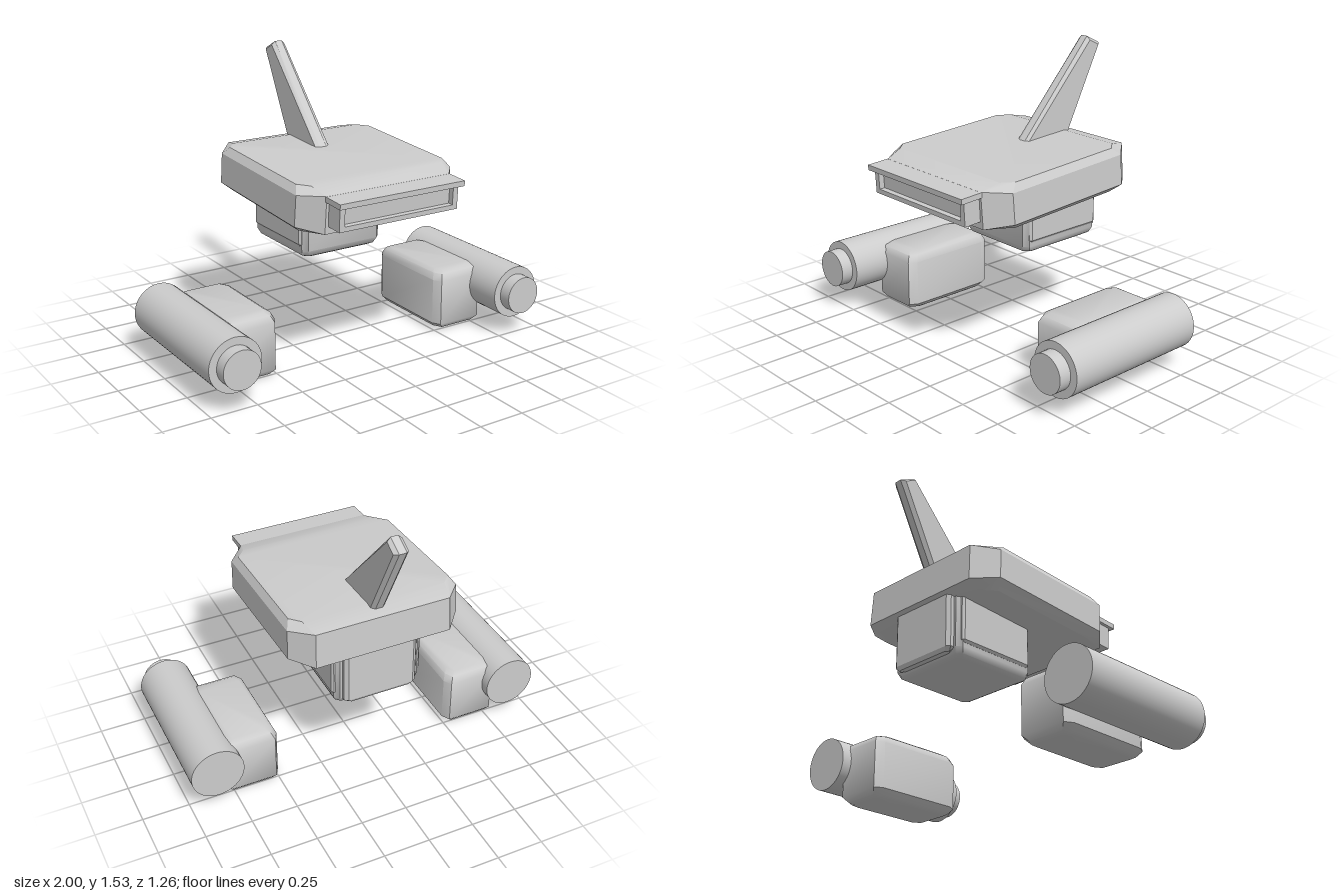
import * as THREE from 'three';
import { toCreasedNormals } from 'three/addons/utils/BufferGeometryUtils.js';

// Corner-cut block: stacked octagons, each level = [y, insetX, insetZ, cutScale, endScale]
function cutBlock(x0, x1, z0, z1, cutX, cutZ, levels, crease = 0.5) {
  const pos = [], idx = [];
  for (const [y, ix, iz, cs = 1, endScale = 1] of levels) {
    const a = x0 + ix, b = x1 - ix, n = z0 + iz, f = z1 - iz, cx = cutX * cs, cz = cutZ * cs;
    const ring = [[b, f - cz], [b, n + cz], [b - cx, n], [a + cx, n],
      [a, n + cz], [a, f - cz], [a + cx, f], [b - cx, f]];
    for (const [x, z] of ring) pos.push(x, z === n || z === f ? y * endScale : y, z);
  }
  const last = (levels.length - 1) * 8;
  for (let l = 0; l < last; l += 8) {
    for (let i = 0; i < 8; i++) {
      const j = (i + 1) % 8;
      idx.push(l + i, l + j, l + 8 + j, l + i, l + 8 + j, l + 8 + i);
    }
  }
  for (let i = 1; i < 7; i++) {
    idx.push(0, i + 1, i, last, last + i, last + i + 1);
  }
  const g = new THREE.BufferGeometry();
  g.setAttribute('position', new THREE.Float32BufferAttribute(pos, 3));
  g.setIndex(idx);
  return toCreasedNormals(g, crease);
}

function rect(s, x0, y0, x1, y1) {
  return s.moveTo(x0, y0).lineTo(x1, y0).lineTo(x1, y1).lineTo(x0, y1).closePath();
}

export function createModel() {
  const model = new THREE.Group();
  const grey = new THREE.MeshStandardMaterial({ color: 0xcccccc });
  grey.name = 'light grey';

  function add(parent, name, geometry, x = 0, y = 0, z = 0) {
    const m = new THREE.Mesh(geometry, grey);
    m.name = name;
    m.position.set(x, y, z);
    parent.add(m);
    return m;
  }

  // Head, tipped slightly forward
  const head = new THREE.Group();
  head.name = 'head';
  head.position.y = 0.9;
  head.rotation.x = 0.055;
  model.add(head);
  add(head, 'headShell', cutBlock(-0.468, 0.468, -0.468, 0.505, 0.1, 0.115, [
    [-0.11, 0.05, 0.1, 0.5],
    [-0.07, 0, 0, 1, 1.25],
    [0.09, 0.005, 0, 1, 1.15],
    [0.13, 0.03, 0.1, 0.5],
  ]));

  // Face: frame around a recessed panel, with a visor slab above
  const frame = rect(new THREE.Shape(), -0.35, -0.05, 0.35, 0.075);
  frame.holes.push(rect(new THREE.Path(), -0.32, -0.025, 0.32, 0.068));
  add(head, 'faceFrame', new THREE.ExtrudeGeometry(frame, { depth: 0.12, bevelEnabled: false }), 0, 0, 0.48);
  add(head, 'facePanel', new THREE.BoxGeometry(0.66, 0.11, 0.08), 0, 0.015, 0.53);
  add(head, 'visor', new THREE.BoxGeometry(0.735, 0.028, 0.15), 0, 0.089, 0.552);

  // Swept fin, profile drawn as (-z, y)
  const profile = new THREE.Shape([[0.06, 1.0], [0.385, 1.0], [0.63, 1.485], [0.54, 1.53]]
    .map(([x, y]) => new THREE.Vector2(x, y)));
  const fin = new THREE.ExtrudeGeometry(profile, {
    depth: 0.04, bevelEnabled: true, bevelThickness: 0.02, bevelSize: 0.016, bevelOffset: -0.016, bevelSegments: 1,
  });
  fin.translate(0, 0, -0.02).rotateY(Math.PI / 2);
  add(model, 'fin', fin);

  // Torso with raised side and back plates
  const torso = new THREE.Group();
  torso.name = 'torso';
  model.add(torso);
  add(torso, 'torsoBlock', cutBlock(-0.238, 0.238, -0.41, 0.1, 0.025, 0.025, [
    [0.507, 0.035, 0.04], [0.52, 0.013, 0.015], [0.55, 0, 0], [0.86, 0, 0],
  ], 0.7));
  for (const s of [-1, 1]) {
    add(torso, 'sidePlate', cutBlock(-0.025, 0.025, -0.392, 0.076, 0.01, 0.012, [
      [0.572, 0.01, 0.01], [0.585, 0, 0], [0.84, 0, 0],
    ]), s * 0.224);
  }
  add(torso, 'backPlate', cutBlock(-0.2, 0.2, -0.445, -0.39, 0.02, 0.015, [
    [0.53, 0.02, 0.012], [0.55, 0, 0], [0.83, 0, 0],
  ]));

  // Feet with a thruster barrel on the outer side
  for (const s of [-1, 1]) {
    const foot = new THREE.Group();
    foot.name = s > 0 ? 'leftFoot' : 'rightFoot';
    model.add(foot);
    add(foot, 'footBlock', cutBlock(-0.152, 0.152, -0.28, 0.28, 0.025, 0.045, [
      [0, 0.045, 0.045], [0.012, 0.025, 0.022], [0.04, 0, 0],
      [0.29, 0, 0], [0.325, 0.015, 0.018], [0.34, 0.04, 0.045],
    ], 0.7), s * 0.648);
    const barrel = new THREE.CylinderGeometry(0.142, 0.142, 0.825, 48).rotateX(Math.PI / 2);
    add(foot, 'barrel', barrel, s * 0.858, 0.23, 0.0775);
    const nozzle = new THREE.CylinderGeometry(0.101, 0.101, 0.1, 48).rotateX(Math.PI / 2);
    add(foot, 'nozzle', nozzle, s * 0.858, 0.23, 0.507);
  }
  return model;
}
